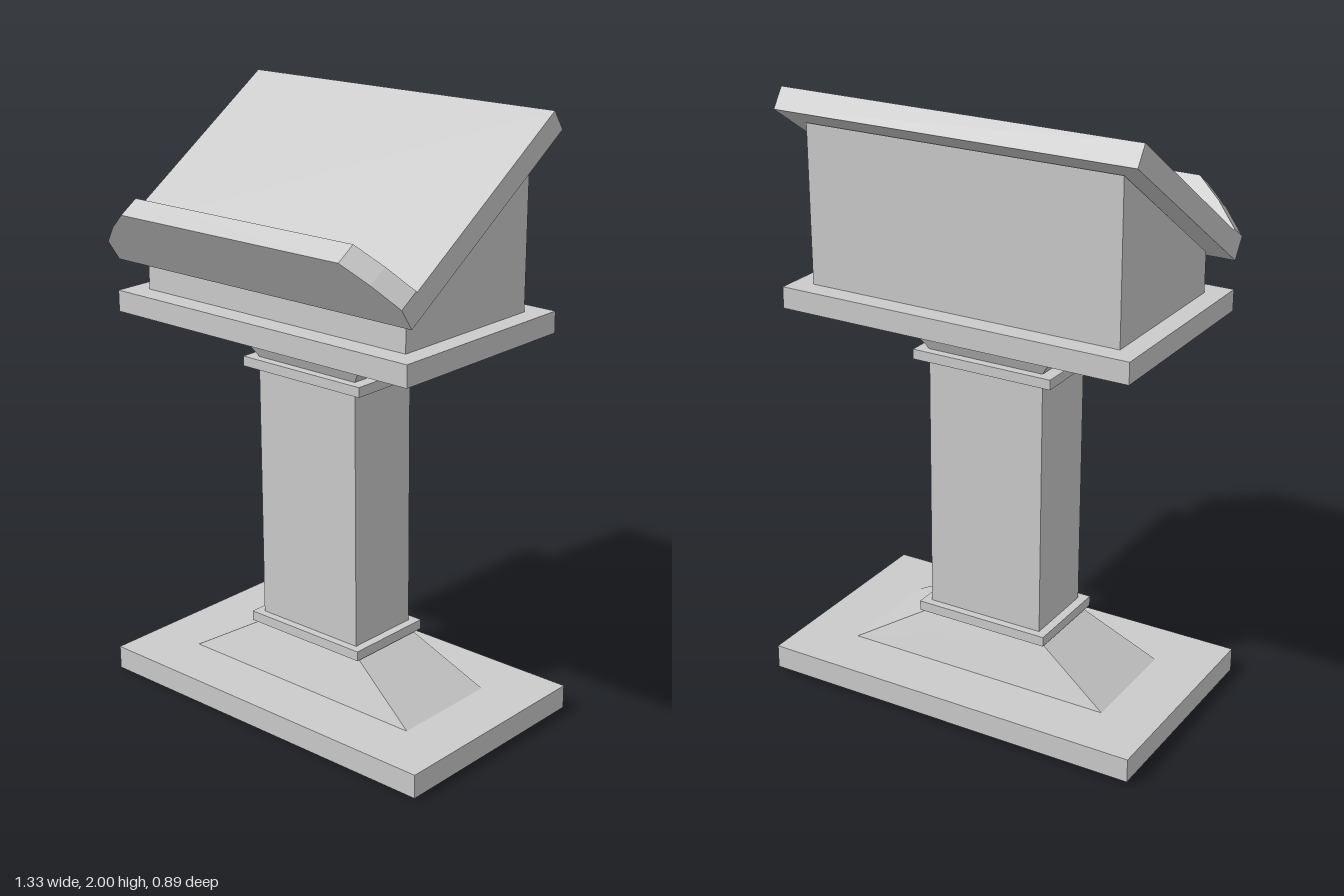
import * as THREE from 'three';

const grey = () => new THREE.MeshStandardMaterial({ color: 0xcccccc, flatShading: true });

function add(parent, name, geometry) {
  const mesh = new THREE.Mesh(geometry, grey());
  mesh.name = name;
  parent.add(mesh);
  return mesh;
}

// Rectangular block from y0 to y1 whose width and depth may differ at the top
function block(y0, y1, w0, d0, w1 = w0, d1 = d0, z = 0) {
  const g = new THREE.BoxGeometry(1, y1 - y0, 1);
  const p = g.attributes.position;
  for (let i = 0; i < p.count; i++) {
    const top = p.getY(i) > 0;
    p.setX(i, p.getX(i) * (top ? w1 : w0));
    p.setZ(i, p.getZ(i) * (top ? d1 : d0));
  }
  g.translate(0, (y0 + y1) / 2, z);
  g.computeVertexNormals();
  return g;
}

export function createModel() {
  const model = new THREE.Group();
  model.name = 'lectern';

  // Pedestal, leaning very slightly forward
  const pedestal = new THREE.Group();
  pedestal.name = 'pedestal';
  pedestal.position.set(0, 0.005, -0.055);
  pedestal.rotation.x = 0.014;
  model.add(pedestal);
  add(pedestal, 'basePlate', block(0, 0.08, 1.326, 0.772));
  add(pedestal, 'baseSlope', block(0.08, 0.235, 0.94, 0.385, 0.42, 0.27));
  add(pedestal, 'lowerCollar', block(0.235, 0.268, 0.47, 0.32));
  add(pedestal, 'column', block(0.268, 1.135, 0.41, 0.265));
  add(pedestal, 'upperCollar', block(1.135, 1.168, 0.495, 0.325));
  add(pedestal, 'capital', block(1.168, 1.295, 0.41, 0.265, 0.59, 0.385));
  add(pedestal, 'shelf', block(1.295, 1.366, 1.214, 0.714, 1.214, 0.714, 0.008));

  // Wedge-shaped desk box, drawn from the side and extruded across
  const side = new THREE.Shape([
    [-0.255, 1.36], [0.315, 1.36], [0.315, 1.894], [-0.255, 1.5],
  ].map(([x, y]) => new THREE.Vector2(x, y)));
  const box = new THREE.ExtrudeGeometry(side, { depth: 1.08, bevelEnabled: false });
  box.translate(0, 0, -0.54).rotateY(Math.PI / 2);
  add(model, 'deskBox', box);

  // Sloping reading board with a lip along its lower edge
  const top = new THREE.Group();
  top.name = 'readingTop';
  top.position.set(0, 1.466, 0.316);
  top.rotation.x = 0.6;
  model.add(top);
  const board = new THREE.BoxGeometry(1.224, 0.075, 0.764);
  board.translate(0, 0.0375, -0.458);
  add(top, 'board', board);

  // Lip with cut, gently curved upper corners
  const half = [[0.612, 0], [0.612, 0.08], [0.535, 0.16], [0.45, 0.23]];
  const outline = [...half, ...half.map(([x, y]) => [-x, y]).reverse()];
  const lip = new THREE.ExtrudeGeometry(
    new THREE.Shape(outline.map(([x, y]) => new THREE.Vector2(x, y))),
    { depth: 0.076, bevelEnabled: false });
  lip.translate(0, 0, -0.076);
  add(top, 'lip', lip);

  return model;
}
